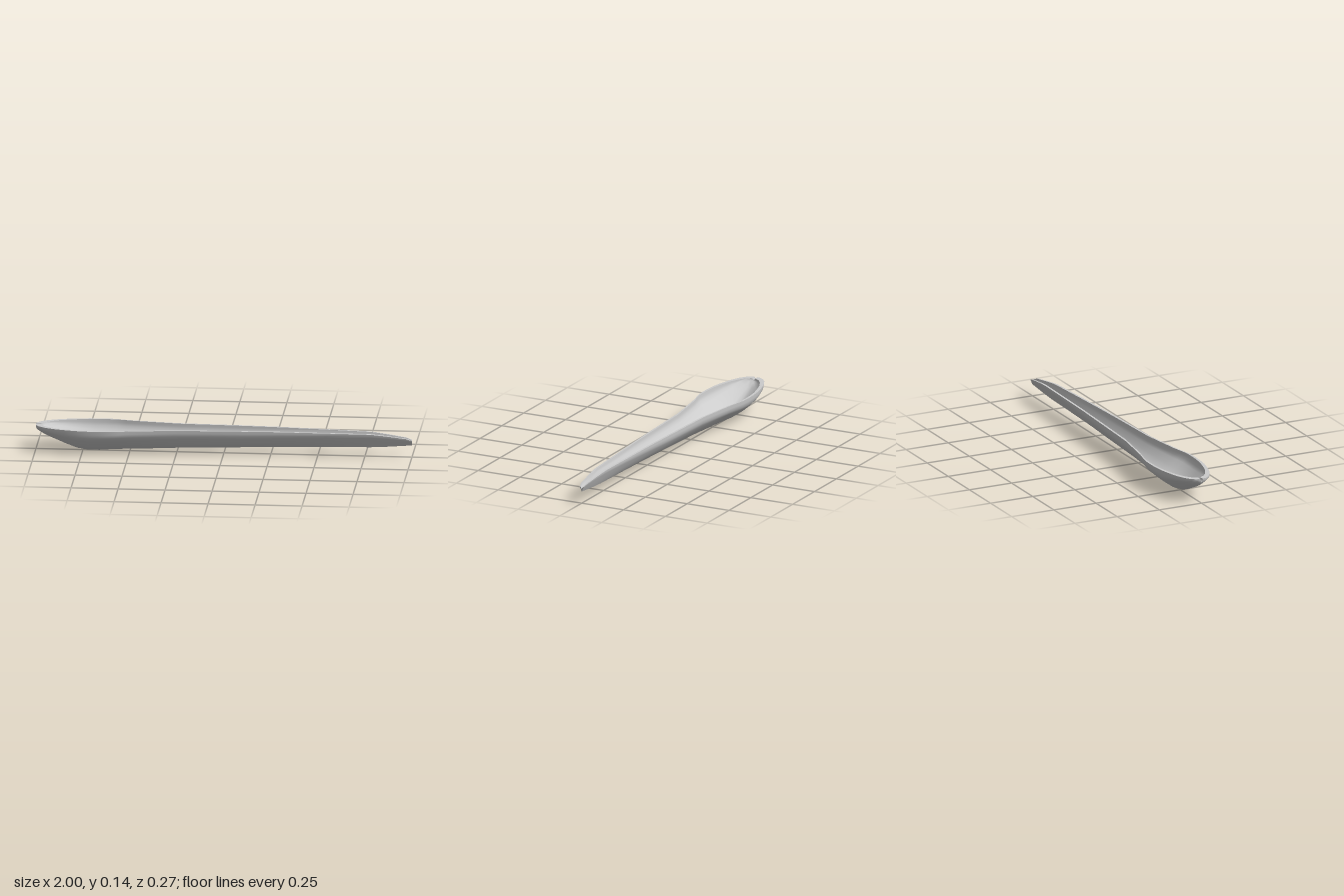
import * as THREE from 'three';
import { toCreasedNormals } from 'three/addons/utils/BufferGeometryUtils.js';

// stations along the length: x, half width, rim height, keel height
const STATIONS = [
  [-1, 0.008, 0.14, 0.122], [-0.995, 0.028, 0.14, 0.112], [-0.98, 0.05, 0.14, 0.102],
  [-0.95, 0.073, 0.14, 0.084], [-0.9, 0.096, 0.14, 0.062], [-0.84, 0.113, 0.14, 0.036],
  [-0.78, 0.126, 0.14, 0.014], [-0.72, 0.132, 0.14, 0.004], [-0.66, 0.134, 0.14, 0.005],
  [-0.6, 0.132, 0.14, 0.01], [-0.55, 0.122, 0.14, 0.013], [-0.5, 0.111, 0.14, 0.015],
  [-0.4, 0.097, 0.14, 0.019], [-0.25, 0.077, 0.14, 0.026], [-0.1, 0.071, 0.14, 0.031],
  [0.1, 0.063, 0.14, 0.037], [0.3, 0.054, 0.139, 0.043], [0.55, 0.044, 0.135, 0.049],
  [0.78, 0.034, 0.131, 0.053], [0.87, 0.027, 0.121, 0.058], [0.97, 0.019, 0.107, 0.066],
  [1, 0.012, 0.096, 0.069],
];

// half cross-section: fraction of half width, fraction of depth below the rim
const PROFILE = [[1, 0], [0.99, 0.14], [0.96, 0.29], [0.83, 0.44], [0.52, 0.71], [0.22, 0.92], [0, 1]];

// one wall of a section, running from the +z rim under the keel to the -z rim
function wall(x, w, top, keel, vee) {
  const half = PROFILE.map(([f, d]) => [x, top - (top - keel) * THREE.MathUtils.lerp(d, 1 - f, vee), w * f]);
  // keep the rim distinct when the section straightens to a V
  half[1][1] = Math.min(half[1][1], top - (top - keel) * 0.04);
  const mirrored = half.slice(0, -1).reverse().map(([px, py, pz]) => [px, py, -pz]);
  return [...half, ...mirrored];
}

function createShell() {
  const positions = [];
  const index = [];
  const n = PROFILE.length * 2 - 1;
  const ring = n * 2;

  // closed rings: outer wall, then the inner wall back again
  for (const [x, w, top, keel] of STATIONS) {
    const vee = 0.8 * THREE.MathUtils.smoothstep(x, 0, 1);
    const outer = wall(x, w, top, keel, vee);
    const thickness = Math.min(0.012, w * 0.4);
    const innerX = x + 0.014 * (1 - x);
    const innerKeel = keel + Math.min(0.018, (top - keel) * 0.5);
    const inner = wall(innerX, w - thickness, top, innerKeel, vee).reverse();
    positions.push(...[...outer, ...inner].flat());
  }

  const quad = (a, b, c, d) => index.push(a, b, d, b, c, d);
  for (let i = 0; i < STATIONS.length - 1; i++) {
    for (let j = 0; j < ring; j++) {
      const k = (j + 1) % ring;
      quad(i * ring + j, i * ring + k, (i + 1) * ring + k, (i + 1) * ring + j);
    }
  }

  // wall thickness at both ends
  const end = (STATIONS.length - 1) * ring;
  for (let j = 0; j < n - 1; j++) {
    const inner = ring - 1 - j;
    quad(end + j, end + j + 1, end + inner - 1, end + inner);
    quad(inner, inner - 1, j + 1, j);
  }

  const geometry = new THREE.BufferGeometry();
  geometry.setAttribute('position', new THREE.Float32BufferAttribute(positions, 3));
  geometry.setIndex(index);
  return toCreasedNormals(geometry, THREE.MathUtils.degToRad(45));
}

export function createModel() {
  const group = new THREE.Group();
  group.name = 'spoon';
  const material = new THREE.MeshStandardMaterial({ color: 0xcccccc });
  const shell = new THREE.Mesh(createShell(), material);
  shell.name = 'bowlAndHandle';
  group.add(shell);
  return group;
}
